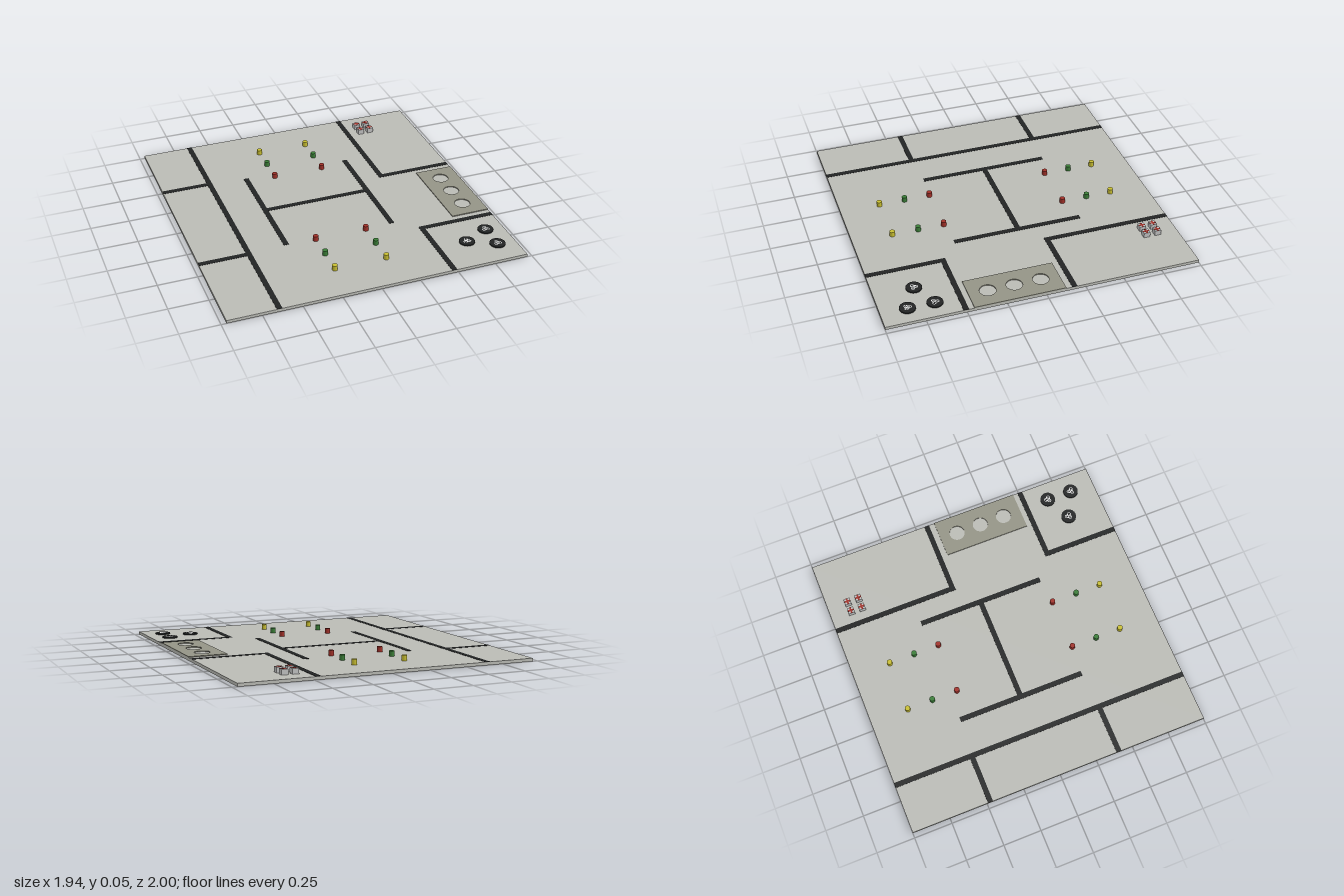
import * as THREE from 'three';

const mat = (name, color) => {
  const m = new THREE.MeshStandardMaterial({ color });
  m.name = name;
  return m;
};

export function createModel() {
  const root = new THREE.Group();
  root.name = 'playingField';
  const M = {
    board: mat('board grey', 0xbabbb5),
    black: mat('line black', 0x222424),
    pad: mat('pad olive grey', 0x949486),
    yellow: mat('yellow', 0xc8be32),
    green: mat('green', 0x3a7d37),
    red: mat('red', 0xa03028),
    crate: mat('crate grey', 0xc0c1c1),
    white: mat('mark white', 0xe6e6e6),
  };
  const TOP = 0.02, W = 0.968, LINE = 0.034;

  const add = (name, geo, material, x, y, z, parent = root) => {
    const m = new THREE.Mesh(geo, material);
    m.name = name;
    m.position.set(x, y, z);
    parent.add(m);
    return m;
  };
  // Box given by its x and z ranges, standing on height y
  const slab = (name, material, x0, x1, z0, z1, y, h, parent) =>
    add(name, new THREE.BoxGeometry(x1 - x0, h, z1 - z0), material,
      (x0 + x1) / 2, y + h / 2, (z0 + z1) / 2, parent);

  // Base board
  slab('board', M.board, -W, W, -1, 1, 0, TOP);

  // Painted floor lines
  const h = LINE / 2;
  const lineX = (x, z0, z1) => slab('floorLine', M.black, x - h, x + h, z0, z1, TOP, 0.0015);
  const lineZ = (z, x0, x1) => slab('floorLine', M.black, x0, x1, z - h, z + h, TOP, 0.0015);
  lineX(-0.645, -1, 1);
  lineZ(-0.478, -W, -0.645 - h);
  lineZ(0.404, -W, -0.645 - h);
  lineX(-0.395, -0.46, 0.388);
  lineX(0.318, -0.46, 0.388);
  lineZ(-0.04, -0.395 + h, 0.318 - h);
  lineX(0.475, -1, -0.161);
  lineZ(-0.178, 0.475 + h, W);
  lineX(0.475, 0.489, 1);
  lineZ(0.506, 0.475 + h, W);

  // Raised pad with three round wells
  const x0 = 0.714, z0 = -0.123, z1 = 0.456;
  const shape = new THREE.Shape();
  shape.moveTo(x0, -z1).lineTo(W, -z1).lineTo(W, -z0).lineTo(x0, -z0).closePath();
  for (const z of [-0.004, 0.165, 0.334]) {
    shape.holes.push(new THREE.Path().absarc(0.841, -z, 0.051, 0, Math.PI * 2, true));
  }
  const padGeo = new THREE.ExtrudeGeometry(shape, { depth: 0.006, bevelEnabled: false, curveSegments: 32 });
  padGeo.rotateX(-Math.PI / 2);
  add('wellPad', padGeo, M.pad, 0, TOP, 0);

  // Coloured pegs, two columns mirrored front to back
  const pegGeo = new THREE.CylinderGeometry(0.0172, 0.0172, 0.034, 24);
  for (const x of [-0.206, 0.132]) {
    for (const side of [-1, 1]) {
      ['red', 'green', 'yellow'].forEach((c, i) =>
        add(c + 'Peg', pegGeo, M[c], x, TOP + 0.017, -0.004 + side * (0.406 + i * 0.1695)));
    }
  }

  // Crates with a red cross on the lid
  for (const x of [0.567, 0.635]) {
    for (const z of [-0.862, -0.787]) {
      const crate = new THREE.Group();
      crate.name = 'crate';
      crate.position.set(x, TOP, z);
      root.add(crate);
      const s = 0.021, t = 0.0055, y = 0.034;
      slab('crateBody', M.crate, -s, s, -s, s, 0, y, crate);
      slab('crossBar', M.red, -s, s, -t, t, y, 0.001, crate);
      slab('crossArm', M.red, -t, t, -s, -t, y, 0.001, crate);
      slab('crossArm', M.red, -t, t, t, s, y, 0.001, crate);
    }
  }

  // Flat black discs with a white three-ring hazard mark
  const discGeo = new THREE.CylinderGeometry(0.05, 0.05, 0.008, 40);
  const ringGeo = new THREE.RingGeometry(0.0085, 0.0125, 20).rotateX(-Math.PI / 2);
  const hubGeo = new THREE.RingGeometry(0.013, 0.016, 24).rotateX(-Math.PI / 2);
  for (const [x, z] of [[0.846, 0.664], [0.676, 0.748], [0.846, 0.833]]) {
    const disc = new THREE.Group();
    disc.name = 'markedDisc';
    disc.position.set(x, TOP, z);
    root.add(disc);
    add('discBody', discGeo, M.black, 0, 0.004, 0, disc);
    add('markHub', hubGeo, M.white, 0, 0.0086, 0, disc);
    for (let i = 0; i < 3; i++) {
      const a = -Math.PI / 2 + (i * Math.PI * 2) / 3;
      add('markRing', ringGeo, M.white, 0.0145 * Math.cos(a), 0.009, 0.0145 * Math.sin(a), disc);
    }
  }
  return root;
}
